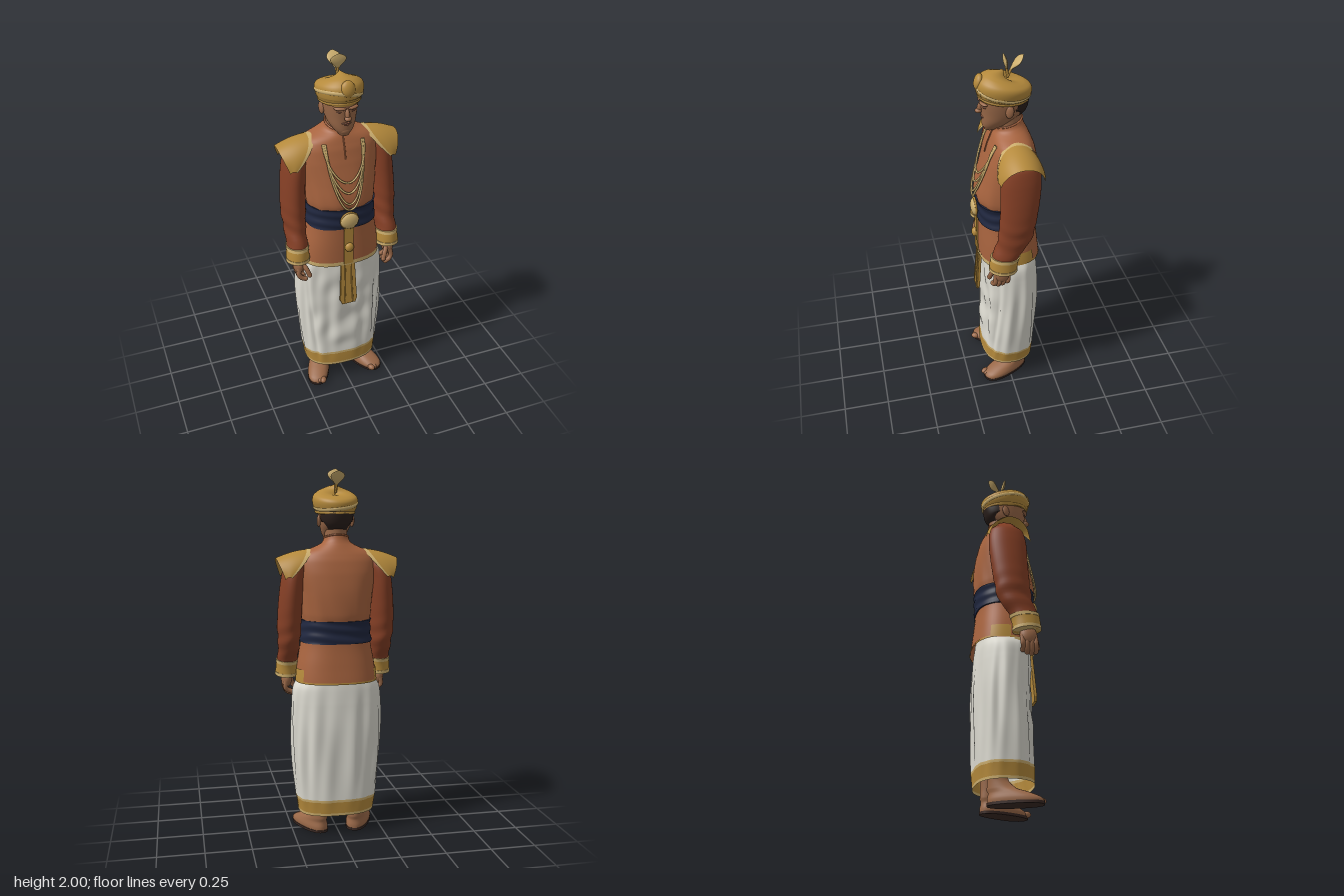
import * as THREE from 'three';

const C = { tunic: 0xa8643f, sleeve: 0x853f25, gold: 0xb58a3c, pale: 0xccae6e, navy: 0x20273f,
  white: 0xdcdad0, skin: 0x996848, hair: 0x2a1f1b, sole: 0x3b2a25, lip: 0x8a5842 };
const mats = {};
const mat = (c) => (mats[c] ??= new THREE.MeshStandardMaterial({ color: C[c], side: THREE.DoubleSide }));
const V = (x, y, z) => new THREE.Vector3(x, y, z);

function add(parent, name, geo, color, pos = [0, 0, 0], scale = [1, 1, 1], rot = [0, 0, 0]) {
  const m = new THREE.Mesh(geo, mat(color));
  m.name = name;
  m.position.set(...pos); m.scale.set(...scale); m.rotation.set(...rot);
  parent.add(m);
}

// Smoothly interpolated cross-section at height y; rows are [y, cx, cz, rx, rz, power], ascending
function section(rows, y) {
  let i = 0;
  while (i < rows.length - 2 && y > rows[i + 1][0]) i++;
  const at = (k) => rows[Math.min(Math.max(k, 0), rows.length - 1)];
  const [a, b, c, d] = [at(i - 1), at(i), at(i + 1), at(i + 2)];
  const t = THREE.MathUtils.clamp((y - b[0]) / (c[0] - b[0]), 0, 1);
  return b.map((p, k) => 0.5 * (2 * p + (c[k] - a[k]) * t + (2 * a[k] - 5 * p + 4 * c[k] - d[k]) * t * t
    + (3 * p - a[k] - 3 * c[k] + d[k]) * t ** 3));
}

// Grid surface from a rule p(u, row)
function grid(nu, nv, closed, rule) {
  const pos = [], idx = [], w = closed ? nu : nu + 1;
  for (let j = 0; j <= nv; j++) for (let i = 0; i < w; i++) pos.push(...rule(i / nu, j));
  for (let j = 0; j < nv; j++) for (let i = 0; i < nu; i++) {
    const a = j * w + i, b = j * w + (i + 1) % w;
    idx.push(a, b, b + w, a, b + w, a + w);
  }
  const g = new THREE.BufferGeometry();
  g.setAttribute('position', new THREE.Float32BufferAttribute(pos, 3));
  g.setIndex(idx);
  g.computeVertexNormals();
  return g;
}

// Loft of superellipse rings between heights y0 and y1, optionally capped or covering only an arc
function shell(rows, y0, y1, { grow = 0, steps = 14, segs = 56, arc = null, cap = false, fold = () => 0, lift = () => 0 } = {}) {
  const levels = [];
  if (cap) levels.push([y0, 0], [y0, 1]);
  for (let j = 0; j <= steps; j++) levels.push([y0 + (y1 - y0) * j / steps, 1]);
  if (cap) levels.push([y1, 1], [y1, 0]);
  const [a0, a1] = arc ?? [0, 2 * Math.PI];
  return grid(segs, levels.length - 1, !arc, (u, j) => {
    const [y, k] = levels[j], [, cx, cz, rx, rz, n] = section(rows, y);
    const a = a0 + (a1 - a0) * u, s = Math.sin(a), c = Math.cos(a), f = grow + fold(a, y);
    const x = Math.sign(s) * Math.abs(s) ** (2 / n), z = Math.sign(c) * Math.abs(c) ** (2 / n);
    return [cx + k * (rx + f) * x, y + lift(a, y), cz + k * (rz + f) * z];
  });
}

const tube = (pts, r, closed = false, n = 48) => new THREE.TubeGeometry(new THREE.CatmullRomCurve3(pts, closed), n, r, 8, closed);
const ball = new THREE.SphereGeometry(1, 24, 16);

const TORSO = [[0.84, 0, -0.017, 0.222, 0.168, 2.5], [0.95, 0, -0.012, 0.212, 0.162, 2.5], [1.08, 0, -0.007, 0.19, 0.155, 2.4],
  [1.18, 0, -0.008, 0.183, 0.157, 2.4], [1.23, 0, -0.009, 0.19, 0.165, 2.4], [1.35, 0, -0.022, 0.2, 0.153, 2.4],
  [1.45, 0, -0.03, 0.213, 0.135, 2.4], [1.52, 0, -0.032, 0.212, 0.118, 2.3], [1.56, 0, -0.032, 0.188, 0.102, 2.2],
  [1.59, 0, -0.03, 0.122, 0.089, 2], [1.608, 0, -0.025, 0.08, 0.079, 2], [1.635, 0, -0.022, 0.066, 0.075, 2]];
const WRAP = [[0.115, 0, -0.008, 0.212, 0.152, 2.5], [0.2, 0, -0.012, 0.224, 0.153, 2.5], [0.4, 0, -0.018, 0.242, 0.153, 2.4],
  [0.6, 0, -0.024, 0.25, 0.152, 2.3], [0.75, 0, -0.022, 0.247, 0.15, 2.3], [0.83, 0, -0.02, 0.238, 0.147, 2.3], [0.9, 0, -0.02, 0.2, 0.14, 2.3]];
const ARM = [[0.88, 0.262, 0.063, 0.06, 0.072, 2], [0.97, 0.26, 0.05, 0.056, 0.074, 2], [1.06, 0.257, 0.003, 0.058, 0.09, 2],
  [1.16, 0.257, -0.016, 0.065, 0.096, 2], [1.3, 0.251, -0.03, 0.064, 0.102, 2], [1.42, 0.24, -0.036, 0.061, 0.104, 2],
  [1.5, 0.225, -0.038, 0.056, 0.09, 2], [1.55, 0.21, -0.038, 0.025, 0.045, 2]];
const HEAD = [[1.603, 0, 0.07, 0.026, 0.03, 2], [1.63, 0, 0.046, 0.05, 0.064, 2.2], [1.66, 0, 0.028, 0.068, 0.084, 2.2],
  [1.7, 0, 0.006, 0.08, 0.108, 2.2], [1.74, 0, 0, 0.087, 0.118, 2.2], [1.8, 0, 0, 0.092, 0.124, 2.1], [1.84, 0, 0, 0.088, 0.12, 2]];
const TURBAN = [[1.765, 0, 0, 0.102, 0.126, 2], [1.8, 0, 0, 0.116, 0.139, 2], [1.835, 0, 0, 0.122, 0.142, 2], [1.858, 0, 0, 0.115, 0.13, 2],
  [1.876, 0, 0, 0.09, 0.102, 2], [1.886, 0, 0, 0.05, 0.06, 2], [1.89, 0, 0, 0.002, 0.002, 2]];
const FOOT = [[0.008, 0, 0.08, 0.061, 0.141, 2.4], [0.03, 0, 0.078, 0.063, 0.14, 2.4], [0.055, 0, 0.056, 0.056, 0.114, 2.2],
  [0.085, 0, 0.018, 0.048, 0.076, 2], [0.13, 0, -0.003, 0.044, 0.053, 2], [0.3, 0, -0.005, 0.05, 0.058, 2]];

function torsoFront(x, y) {
  const [, , cz, rx, rz, n] = section(TORSO, y);
  return cz + rz * Math.max(0, 1 - Math.abs(x / rx) ** n) ** (1 / n);
}

// Vertical pleats, sagging drapes and knee hollows at the front, and an overlap crease on each side
const drape = (a, y) => {
  const mid = Math.sin(Math.PI * THREE.MathUtils.clamp((y - 0.1) / 0.8, 0, 1));
  const front = Math.max(0, Math.cos(a)) ** 3, side = Math.abs(a > Math.PI ? a - 2 * Math.PI : a);
  const sag = Math.sin(26 * y + 12 * Math.sin(a) ** 2 + 1.5 * Math.sin(a)) + 0.5 * Math.sin(41 * y - 6 * Math.sin(a));
  const crease = Math.exp(-(((side - 0.75 - 0.3 * y) / 0.07) ** 2));
  const hollow = Math.exp(-(((y - 0.47) / 0.07) ** 2)) + 0.8 * Math.exp(-(((y - 0.26) / 0.05) ** 2));
  return mid * (0.005 * Math.sin(9 * a + 5 * y) + 0.004 * Math.sin(16 * a - 4 * y) + front * (0.004 * sag - 0.01 * hollow) - 0.012 * crease);
};

function buildHead(g) {
  const head = new THREE.Group(); head.name = 'head'; g.add(head);
  const neck = [[1.55, 0, -0.027, 0.066, 0.075, 2], [1.63, 0, -0.022, 0.06, 0.07, 2], [1.72, 0, -0.02, 0.062, 0.075, 2]];
  add(head, 'neck', shell(neck, 1.55, 1.72), 'skin');
  add(head, 'face', shell(HEAD, 1.603, 1.84, { cap: true, steps: 20 }), 'skin');
  add(head, 'hair', shell(HEAD, 1.675, 1.82, { grow: 0.007, arc: [1.95, 4.33], lift: (a, y) => y < 1.72 ? 0.045 * Math.abs(a - Math.PI) ** 4 * (1.72 - y) / 0.045 : 0 }), 'hair');
  add(head, 'noseBridge', ball, 'skin', [0, 1.73, 0.119], [0.012, 0.034, 0.016], [-0.3, 0, 0]);
  add(head, 'noseTip', ball, 'skin', [0, 1.709, 0.129], [0.018, 0.013, 0.018]);
  add(head, 'upperLip', ball, 'lip', [0, 1.678, 0.107], [0.026, 0.006, 0.011]);
  add(head, 'lowerLip', ball, 'lip', [0, 1.668, 0.104], [0.021, 0.007, 0.011]);
  add(head, 'chin', ball, 'skin', [0, 1.633, 0.092], [0.03, 0.024, 0.02]);
  for (const s of [-1, 1]) {
    add(head, 'brow', ball, 'skin', [s * 0.034, 1.76, 0.109], [0.032, 0.01, 0.016], [0, s * 0.35, 0]);
    add(head, 'eye', ball, 'lip', [s * 0.036, 1.741, 0.106], [0.015, 0.005, 0.007], [0, s * 0.35, 0]);
    add(head, 'ear', ball, 'skin', [s * 0.09, 1.727, -0.012], [0.011, 0.034, 0.021], [-0.15, s * -0.3, 0]);
  }
  // Wound cloth headdress, higher at the front, with a crest and two plumes
  const hat = new THREE.Group(); hat.name = 'turban'; g.add(hat);
  const lift = (a, y) => 0.028 * Math.cos(a) * (y - 1.765) / 0.12 + (y < 1.8 ? 0.01 * Math.max(0, Math.cos(a)) : 0);
  add(hat, 'wrap', shell(TURBAN, 1.765, 1.89, { steps: 28, lift }), 'gold');
  const ring = (y, tilt, phase, grow) => Array.from({ length: 40 }, (_, i) => {
    const a = i / 40 * 2 * Math.PI, yy = y + tilt * Math.cos(a + phase), [, , , rx, rz] = section(TURBAN, yy);
    return V((rx + grow) * Math.sin(a), yy + lift(a, yy), (rz + grow) * Math.cos(a));
  });
  add(hat, 'lowerFold', tube(ring(1.773, 0.004, 0, -0.006), 0.01, true, 80), 'gold');
  add(hat, 'diagonalTrim', tube(ring(1.812, 0.022, 0.9, -0.01), 0.013, true, 80), 'pale');
  add(hat, 'crest', ball, 'gold', [0, 1.866, 0.127], [0.036, 0.042, 0.022], [-0.25, 0, 0]);
  for (const [end, r, tip] of [[V(0, 1.922, -0.016), 0.043, V(0, 1.998, -0.002)], [V(0, 1.915, -0.036), 0.038, V(0, 1.985, -0.1)]]) {
    const root = V(0, 1.875, -0.02), along = tip.clone().sub(end).normalize();
    add(hat, 'plumeStalk', tube([root, root.clone().lerp(end, 0.5), end.clone().lerp(tip, 0.1)], 0.007, false, 12), 'gold');
    add(hat, 'plume', grid(24, 12, true, (u, j) => {
      const t = j / 12, p = end.clone().lerp(tip, t), a = u * 2 * Math.PI;
      const w = r * Math.sin(Math.PI * (0.06 + 0.92 * t ** 1.5)) ** 0.85, d = 0.01 * Math.sin(Math.PI * (0.15 + 0.83 * t)) * Math.cos(a);
      return [w * Math.sin(a), p.y - d * along.z, p.z + d * along.y];
    }), 'pale');
  }
}

function buildTunic(g) {
  // The collar stands lower at the throat than at the nape
  const collar = (a, y) => -0.02 * Math.cos(a) * THREE.MathUtils.smoothstep(y, 1.57, 1.635);
  add(g, 'tunicBody', shell(TORSO, 1.188, 1.635, { steps: 36, lift: collar, fold: (a, y) => y < 1.45 ? 0.003 * Math.sin(11 * a + 14 * y) * (1.45 - y) / 0.25 : 0 }), 'tunic');
  add(g, 'tunicSkirt', shell(TORSO, 0.862, 1.09), 'tunic');
  add(g, 'frontHem', shell(TORSO, 0.842, 0.866, { arc: [-1.5, 1.5], grow: 0.002, steps: 3 }), 'pale');
  add(g, 'backHem', shell(TORSO, 0.862, 0.872, { arc: [1.5, 4.78], grow: 0.003, steps: 2 }), 'gold');
  for (const s of [-1, 1]) add(g, 'sideTrim', shell(TORSO, 0.868, 0.935, { arc: [s * 1.85 - 0.28, s * 1.85 + 0.28], grow: 0.004, segs: 12 }), 'gold');
  const seam = [1.61, 1.59, 1.57, 1.55, 1.53, 1.5, 1.47].map((y) => V(0, y + collar(0, y), torsoFront(0, y) + 0.002));
  add(g, 'neckSeam', tube(seam, 0.004), 'tunic');
  const rim = Array.from({ length: 24 }, (_, i) => i * Math.PI / 12).map((a) => V(0.065 * Math.sin(a), 1.635 + collar(a, 1.635), -0.022 + 0.074 * Math.cos(a)));
  add(g, 'collarEdge', tube(rim, 0.005, true), 'tunic');
  add(g, 'belt', shell(TORSO, 1.078, 1.2, { grow: 0.006, steps: 24, cap: true, fold: (a, y) => 0.0025 * Math.sin(y * 110 + 2 * Math.sin(2 * a)) }), 'navy');
  add(g, 'buckle', ball, 'pale', [0, 1.133, 0.163], [0.05, 0.046, 0.02]);
  add(g, 'buckleRim', new THREE.TorusGeometry(0.047, 0.006, 8, 40), 'gold', [0, 1.133, 0.16]);
  add(g, 'placket', new THREE.BoxGeometry(0.052, 0.23, 0.016), 'gold', [0, 0.967, 0.15]);
  add(g, 'medallion', ball, 'gold', [0, 0.963, 0.163], [0.025, 0.027, 0.018]);
  // Hanging sash end
  const sash = new THREE.Shape([[-0.036, 0], [-0.05, -0.26], [-0.04, -0.285], [0.036, -0.285], [0.046, -0.26], [0.036, 0]].map(([x, y]) => new THREE.Vector2(x, y)));
  add(g, 'sash', new THREE.ExtrudeGeometry(sash, { depth: 0.012, bevelSize: 0.002, bevelThickness: 0.002, bevelSegments: 2 }), 'gold', [0, 0.867, 0.133], [1, 1, 1], [-0.07, 0, 0]);
  for (const x of [-0.02, 0.018]) add(g, 'sashPleat', tube([V(x, 0.86, 0.147), V(x, 0.72, 0.157), V(x * 1.3, 0.59, 0.166)], 0.004), 'gold');
  // Bead strands hanging over the chest
  [[0.092, 1.205], [0.088, 1.24], [0.096, 1.3], [0.1, 1.355]].forEach(([w, low]) => {
    const pts = Array.from({ length: 25 }, (_, i) => {
      const t = i / 24 * Math.PI, x = w * Math.cos(t) * (1 + 0.12 * Math.cos(t) ** 2), y = 1.555 - (1.555 - low) * Math.sin(t);
      return V(x, y, torsoFront(x, y) + 0.005 + 0.012 * Math.sin(t));
    });
    add(g, 'necklace', tube(pts, 0.0055, false, 64), 'pale');
  });
}

function buildArm(g, s) {
  const arm = new THREE.Group(); arm.name = s > 0 ? 'leftArm' : 'rightArm'; g.add(arm);
  const rows = ARM.map(([y, cx, ...r]) => [y, s * cx, ...r]);
  add(arm, 'sleeve', shell(rows, 0.95, 1.55, { steps: 36, cap: true, segs: 36, fold: (a, y) => 0.003 * Math.sin(70 * y + 2 * Math.sin(a)) * Math.exp(-(((y - 1.08) / 0.1) ** 2)) }), 'sleeve');
  const tilt = (a) => 0.008 * Math.cos(a);
  add(arm, 'cuff', shell(rows, 0.885, 0.965, { grow: 0.003, cap: true, segs: 36, steps: 6, lift: tilt }), 'gold');
  for (const y of [0.885, 0.955]) add(arm, 'cuffTrim', shell(rows, y, y + 0.018, { grow: 0.005, cap: true, segs: 36, steps: 2, lift: tilt }), 'pale');
  // Hand with curled fingers
  add(arm, 'palm', ball, 'skin', [s * 0.262, 0.858, 0.07], [0.03, 0.054, 0.047], [0, 0, s * 0.1]);
  for (let i = 0; i < 4; i++) {
    const z = 0.035 + i * 0.023, low = 0.772 + [0.016, 0.004, 0, 0.008][i];
    const pts = [V(s * 0.268, 0.85, z), V(s * 0.272, 0.81, z + 0.004), V(s * 0.257, low + 0.008, z + 0.008), V(s * 0.238, low, z + 0.01)];
    add(arm, 'finger', tube(pts, 0.0135, false, 14), 'skin');
    add(arm, 'fingertip', ball, 'skin', pts[3].toArray(), [0.0135, 0.0135, 0.0135]);
  }
  add(arm, 'thumb', tube([V(s * 0.252, 0.875, 0.09), V(s * 0.232, 0.845, 0.117), V(s * 0.218, 0.808, 0.128)], 0.0135, false, 14), 'skin');
  add(arm, 'thumbTip', ball, 'skin', [s * 0.218, 0.808, 0.128], [0.0135, 0.0135, 0.0135]);
  // Flared shoulder cap with rounded outer corners and a pale inner border
  const cap = (u0, u1, raise) => grid(32, 10, false, (v, j) => {
    const u = u0 + (u1 - u0) * j / 10, f = (v * 2 - 1) * 1.5, c = 1 - Math.cos(f);
    const inner = 0.135 + 0.132 * c ** 1.2, outer = 0.33 - 0.043 * c;
    const top = 1.58 - 0.048 * u + 0.01 * Math.sin(Math.PI * u);
    return [s * (inner + (outer - inner) * u), top + raise - (0.16 - 0.045 * u) * c, -0.034 + (0.122 - 0.012 * u * u + raise) * Math.sin(f)];
  });
  add(arm, 'shoulderCap', cap(0.12, 1, 0), 'gold');
  add(arm, 'shoulderTrim', cap(0, 0.15, 0.002), 'pale');
}

function buildFoot(g, s) {
  const foot = new THREE.Group(); foot.name = s > 0 ? 'leftFoot' : 'rightFoot'; g.add(foot);
  foot.position.set(s * 0.105, 0, -0.055);
  foot.rotation.y = s * 0.42;
  const taper = (a, y) => y < 0.07 ? 0.006 * Math.cos(a) : 0;
  add(foot, 'footAndAnkle', shell(FOOT, 0.008, 0.3, { steps: 30, segs: 36, fold: taper, cap: true }), 'skin');
  add(foot, 'sole', shell(FOOT, 0, 0.014, { steps: 2, segs: 36, grow: 0.003, fold: taper, cap: true }), 'sole');
  for (let i = 0; i < 5; i++)
    add(foot, 'toe', ball, 'skin', [s * (-0.038 + i * 0.02), 0.024, 0.208 - i * i * 0.0025], [i ? 0.013 : 0.018, i ? 0.014 : 0.017, 0.024]);
}

export function createModel() {
  const g = new THREE.Group();
  g.name = 'robedFigure';
  buildHead(g);
  buildTunic(g);
  add(g, 'lowerGarment', shell(WRAP, 0.207, 0.9, { steps: 60, segs: 120, fold: drape }), 'white');
  for (const [y0, y1, color] of [[0.115, 0.13, 'pale'], [0.13, 0.193, 'gold'], [0.193, 0.207, 'pale']])
    add(g, 'garmentBorder', shell(WRAP, y0, y1, { steps: 4, segs: 120, fold: drape }), color);
  for (const s of [-1, 1]) { buildArm(g, s); buildFoot(g, s); }
  return g;
}
